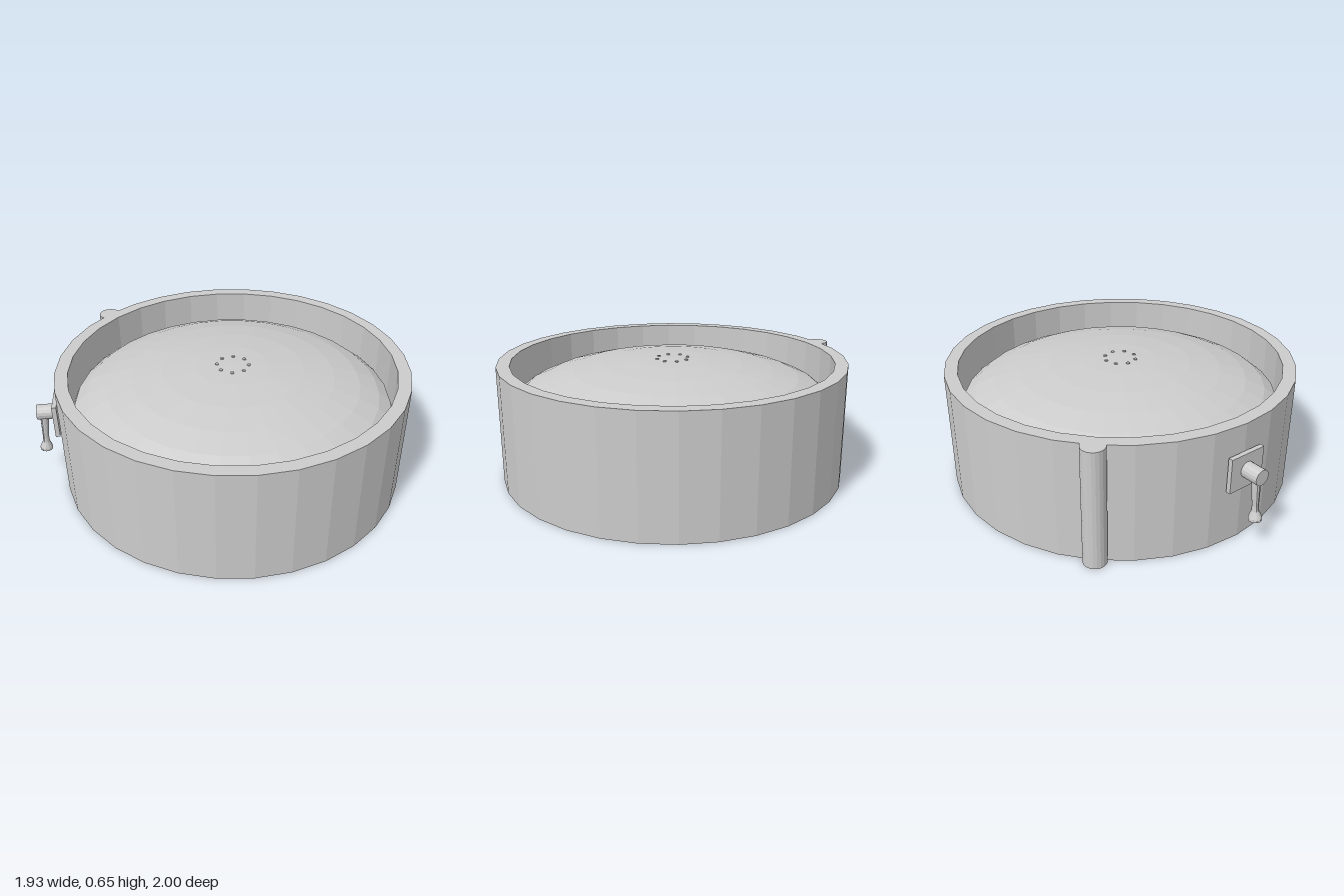
import * as THREE from 'three';

const material = new THREE.MeshStandardMaterial({ color: 0xcccccc, flatShading: true, side: THREE.DoubleSide });
const SIDES = 32;

function part(name, geometry, parent, x = 0, y = 0, z = 0) {
  const mesh = new THREE.Mesh(geometry, material);
  mesh.name = name;
  mesh.position.set(x, y, z);
  parent.add(mesh);
  return mesh;
}

function lathe(points, sides) {
  return new THREE.LatheGeometry(points.map(([r, y]) => new THREE.Vector2(r, y)), sides);
}

export function createModel() {
  const model = new THREE.Group();
  model.name = 'basin';

  // Everything round shares this axis
  const basin = new THREE.Group();
  basin.name = 'basinBody';
  basin.position.z = 0.034;
  model.add(basin);

  // Thick rim above, thin skirt below
  part('wall', lathe([
    [0.955, 0], [0.966, 0], [0.966, 0.65], [0.895, 0.65],
    [0.895, 0.4], [0.955, 0.4], [0.955, 0],
  ], SIDES), basin);

  // Shallow domed floor, open underneath
  const dome = [];
  for (let i = 0; i <= 7; i++) {
    const a = (i / 7) * Math.PI / 2;
    dome.push([0.9 * Math.cos(a), 0.4 + 0.247 * Math.sin(a)]);
  }
  part('domedFloor', lathe(dome, SIDES), basin);

  // Ring of small jets around the crown
  for (let i = 0; i < 8; i++) {
    const a = (i / 8) * Math.PI * 2 + 0.15;
    part('jet', new THREE.CylinderGeometry(0.01, 0.01, 0.02, 8), basin,
      0.088 * Math.cos(a), 0.64, 0.088 * Math.sin(a));
  }

  // Upright pipe at the back
  part('pipe', new THREE.CylinderGeometry(0.062, 0.062, 0.65, 20), model, 0, 0.325, -0.938);

  // Valve: local +z points outward from the wall
  const valve = new THREE.Group();
  valve.name = 'valve';
  valve.rotation.y = -Math.PI * 0.75;
  basin.add(valve);
  part('valvePlate', new THREE.BoxGeometry(0.215, 0.19, 0.025), valve, 0, 0.405, 0.98);
  const body = part('valveBody', new THREE.CylinderGeometry(0.043, 0.043, 0.12, 16), valve, 0, 0.41, 1.03);
  body.rotation.x = Math.PI / 2;

  // Lever hanging from the valve, flared at the tip
  const lever = part('valveLever', lathe([
    [0, -0.25], [0.035, -0.25], [0.035, -0.237], [0.02, -0.2], [0.017, -0.17], [0.026, 0], [0, 0],
  ], 12), valve, 0, 0.41, 1.052);
  lever.rotation.x = -0.08;

  return model;
}
